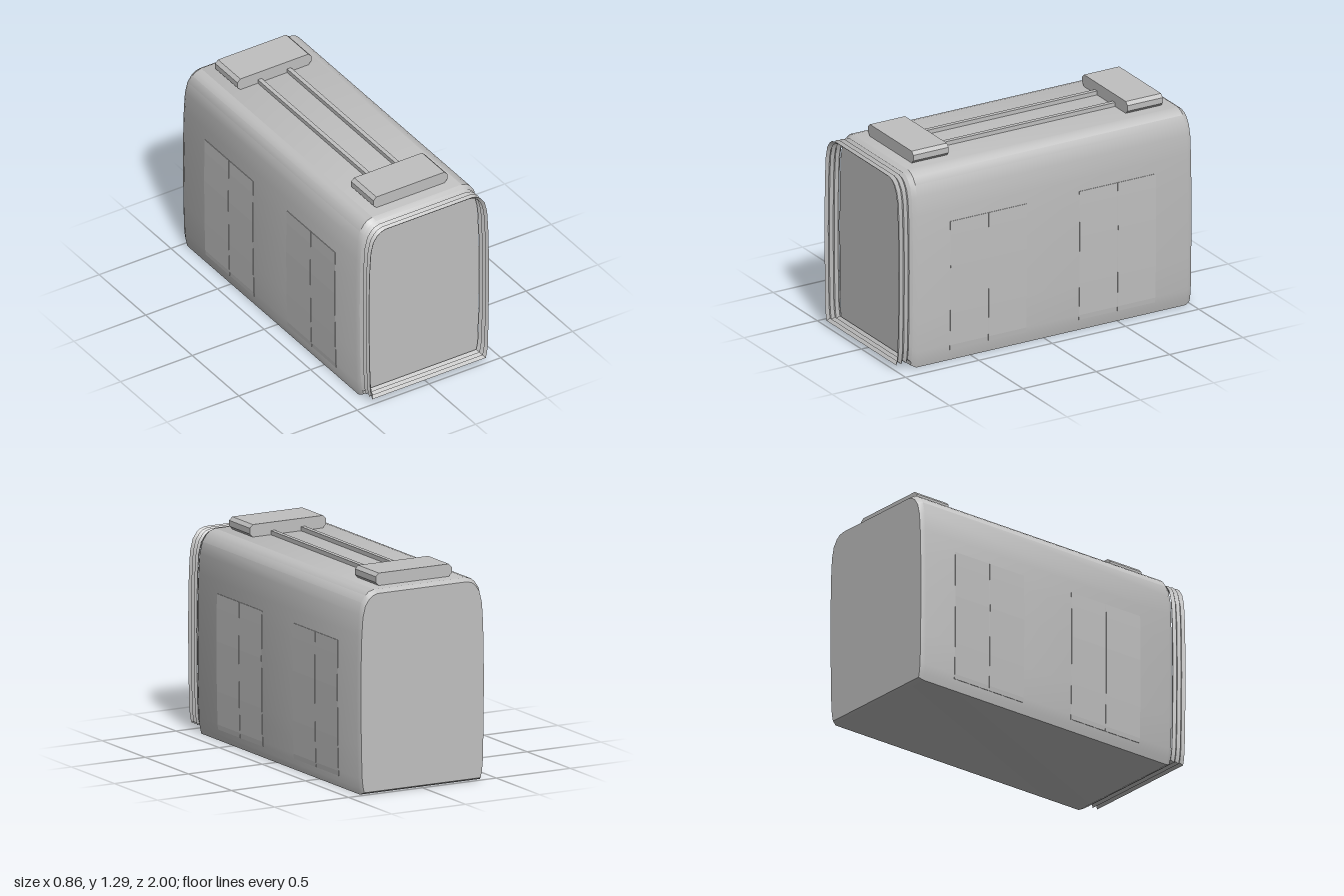
import * as THREE from 'three';
import { mergeVertices, toCreasedNormals } from 'three/addons/utils/BufferGeometryUtils.js';

// right half of the body cross-section, floor to roof
const side = [[0.405, 0], [0.414, 0.04], [0.42, 0.1], [0.425, 0.3], [0.428, 0.6], [0.426, 0.8], [0.422, 0.96],
  [0.414, 1.08], [0.397, 1.15], [0.37, 1.19], [0.345, 1.21], [0.31, 1.22]];
const TOP = 1.22;
const ring = [...side, ...side.map(([x, y]) => [-x, y]).reverse()];

// skin through scaled copies of the section; each station is [z, sideInset, bottomY, topY]
function loft(stations, capped) {
  const pos = [], idx = [], n = ring.length;
  for (const [z, inset, y0, y1] of stations) {
    const s = 1 - inset / 0.428;
    for (const [x, y] of ring) pos.push(x * s, y0 + (y / TOP) * (y1 - y0), z);
  }
  for (let k = 0; k < stations.length - 1; k++) {
    for (let i = 0; i < n; i++) {
      const a = k * n + i, b = k * n + (i + 1) % n;
      idx.push(a, b, b + n, a, b + n, a + n);
    }
  }
  if (capped) {
    const last = (stations.length - 1) * n;
    for (let i = 1; i < n - 1; i++) {
      idx.push(0, i + 1, i, last, last + i, last + i + 1);
    }
  }
  const g = new THREE.BufferGeometry();
  g.setAttribute('position', new THREE.Float32BufferAttribute(pos, 3));
  g.setIndex(idx);
  return toCreasedNormals(mergeVertices(g), 0.6);
}

// half-width of the body at a height
function halfWidth(y) {
  const i = Math.max(1, side.findIndex((p) => p[1] >= y));
  const [xa, ya] = side[i - 1], [xb, yb] = side[i];
  return xa + (xb - xa) * (y - ya) / (yb - ya);
}

export function createModel() {
  const model = new THREE.Group();
  const grey = new THREE.MeshStandardMaterial({ color: 0xc0c0c0 });
  grey.name = 'light grey';
  grey.side = THREE.DoubleSide;
  const add = (name, geometry, x = 0, y = 0, z = 0) => {
    const mesh = new THREE.Mesh(geometry, grey);
    mesh.name = name;
    mesh.position.set(x, y, z);
    model.add(mesh);
    return mesh;
  };

  // carriage body with bevelled ends
  add('body', loft([[-1, 0.012, 0.015, 1.2], [-0.97, 0, 0, TOP], [0.87, 0, 0, TOP], [0.9, 0.015, 0.015, 1.2]], true));

  // open pleated gangway
  const pleats = [];
  for (let i = 0; i <= 6; i++) {
    const z = 0.9 + i / 60;
    pleats.push(i % 2 ? [z, 0.024, 0.055, 1.19] : [z, 0.01, 0.038, 1.206]);
  }
  add('gangwayBellows', loft(pleats, false));

  // roof equipment boxes with cut corners
  const w = 0.257, h = 0.075, c = 0.02;
  const boxShape = new THREE.Shape([[-w + c, 0], [w - c, 0], [w, c], [w, h - c], [w - c, h], [-w + c, h], [-w, h - c], [-w, c]]
    .map(([x, y]) => new THREE.Vector2(x, y)));
  for (const [name, z] of [['frontRoofBox', 0.56], ['rearRoofBox', -0.9]]) {
    add(name, new THREE.ExtrudeGeometry(boxShape, { depth: 0.24, bevelEnabled: false }), 0, TOP, z);
  }

  // roof conduits joining the boxes
  for (const s of [1, -1]) {
    add('roofConduit', new THREE.BoxGeometry(0.027, 0.026, 1.22), s * 0.102, 1.232, -0.05);
  }

  // paired door leaves, thin panels following the curve of the sides
  const heights = [0.07, 0.1, 0.3, 0.6, 0.8, 0.885];
  for (const s of [1, -1]) {
    const outer = heights.map((y) => new THREE.Vector2(s * (halfWidth(y) + 0.003), y));
    const inner = heights.map((y) => new THREE.Vector2(s * (halfWidth(y) - 0.004), y)).reverse();
    const panel = new THREE.ExtrudeGeometry(new THREE.Shape([...outer, ...inner]), { depth: 0.258, bevelEnabled: false });
    for (const centre of [0.39, -0.49]) {
      add('doorLeaf', panel, 0, 0, centre + 0.002);
      add('doorLeaf', panel, 0, 0, centre - 0.26);
    }
  }
  return model;
}
